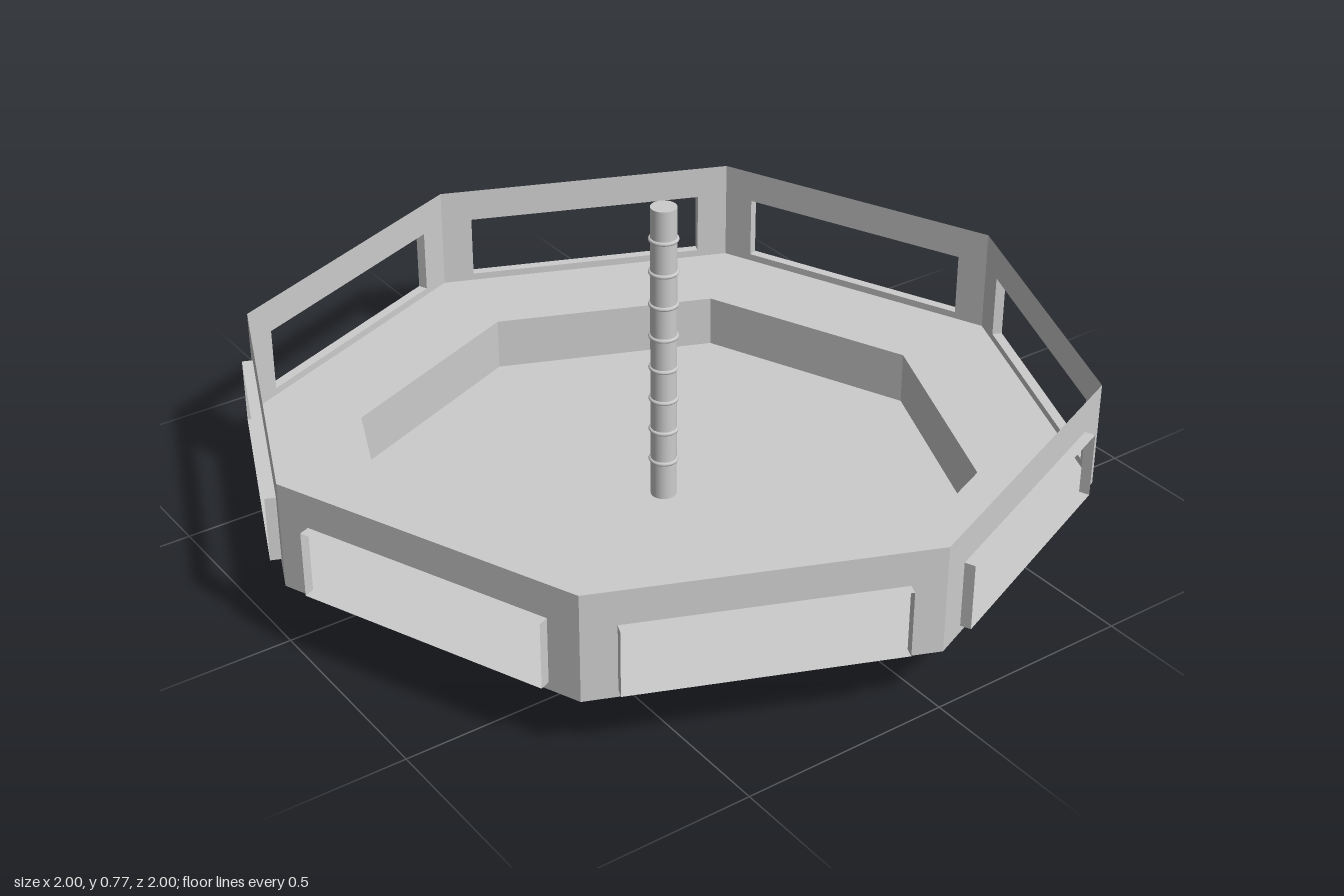
import * as THREE from 'three';

const SIDES = 8;
const R_OUT = 1, R_PIT = 0.737;
const Y_FLOOR = 0.012, Y_LEDGE = 0.145, Y_TOP = 0.405;
const WIN = { half: 0.305, bottom: 0.163, top: 0.322, depth: 0.025 };

const sheet = new THREE.MeshStandardMaterial({ color: 0xcccccc, flatShading: true, side: THREE.DoubleSide });
const smooth = new THREE.MeshStandardMaterial({ color: 0xcccccc });

function add(parent, name, geometry, material = sheet) {
  const mesh = new THREE.Mesh(geometry, material);
  mesh.name = name;
  parent.add(mesh);
  return mesh;
}

// One wall panel with a window hole, facing +z
function panelGeometry() {
  const half = R_OUT * Math.sin(Math.PI / SIDES);
  const shape = new THREE.Shape();
  shape.moveTo(-half, Y_LEDGE).lineTo(half, Y_LEDGE).lineTo(half, Y_TOP).lineTo(-half, Y_TOP).closePath();
  const hole = new THREE.Path();
  hole.moveTo(-WIN.half, WIN.bottom).lineTo(-WIN.half, WIN.top).lineTo(WIN.half, WIN.top).lineTo(WIN.half, WIN.bottom).closePath();
  shape.holes.push(hole);
  return new THREE.ShapeGeometry(shape);
}

// Thin sleeve around the window, standing out from the wall
function addWindowFrame(parent) {
  const frame = new THREE.Group();
  frame.name = 'windowFrame';
  const height = WIN.top - WIN.bottom;
  for (const s of [-1, 1]) {
    const jamb = add(frame, 'jamb', new THREE.PlaneGeometry(WIN.depth, height).rotateY(s * Math.PI / 2));
    jamb.position.set(s * WIN.half, (WIN.top + WIN.bottom) / 2, WIN.depth / 2);
    const rail = add(frame, s > 0 ? 'head' : 'sill', new THREE.PlaneGeometry(2 * WIN.half, WIN.depth).rotateX(-s * Math.PI / 2));
    rail.position.set(0, s > 0 ? WIN.top : WIN.bottom, WIN.depth / 2);
  }
  parent.add(frame);
}

export function createModel() {
  const model = new THREE.Group();
  model.name = 'octagonalDeck';

  // Sunken pit: floor, sides and surrounding ledge
  add(model, 'pitFloor', new THREE.CircleGeometry(R_PIT, SIDES).rotateX(-Math.PI / 2)).position.y = Y_FLOOR;
  const pitHeight = Y_LEDGE - Y_FLOOR;
  add(model, 'pitWall', new THREE.CylinderGeometry(R_PIT, R_PIT, pitHeight, SIDES, 1, true))
    .position.y = Y_FLOOR + pitHeight / 2;
  add(model, 'ledge', new THREE.RingGeometry(R_PIT, R_OUT, SIDES, 1).rotateX(-Math.PI / 2)).position.y = Y_LEDGE;

  // Outer wall of eight windowed panels
  const panel = panelGeometry();
  const apothem = R_OUT * Math.cos(Math.PI / SIDES);
  for (let i = 0; i < SIDES; i++) {
    const side = new THREE.Group();
    side.name = 'wallSide';
    const angle = (i + 0.5) * 2 * Math.PI / SIDES;
    side.position.set(apothem * Math.sin(angle), 0, apothem * Math.cos(angle));
    side.rotation.y = angle;
    add(side, 'wallPanel', panel);
    addWindowFrame(side);
    model.add(side);
  }

  // Central mast with evenly spaced bands
  const mast = new THREE.Group();
  mast.name = 'mast';
  add(mast, 'pole', new THREE.CylinderGeometry(0.031, 0.031, 0.77, 32), smooth).position.y = 0.385;
  for (let i = 0; i < 8; i++) {
    add(mast, 'band', new THREE.TorusGeometry(0.031, 0.005, 8, 32).rotateX(Math.PI / 2), smooth)
      .position.y = 0.69 - i * 0.083;
  }
  model.add(mast);

  return model;
}
